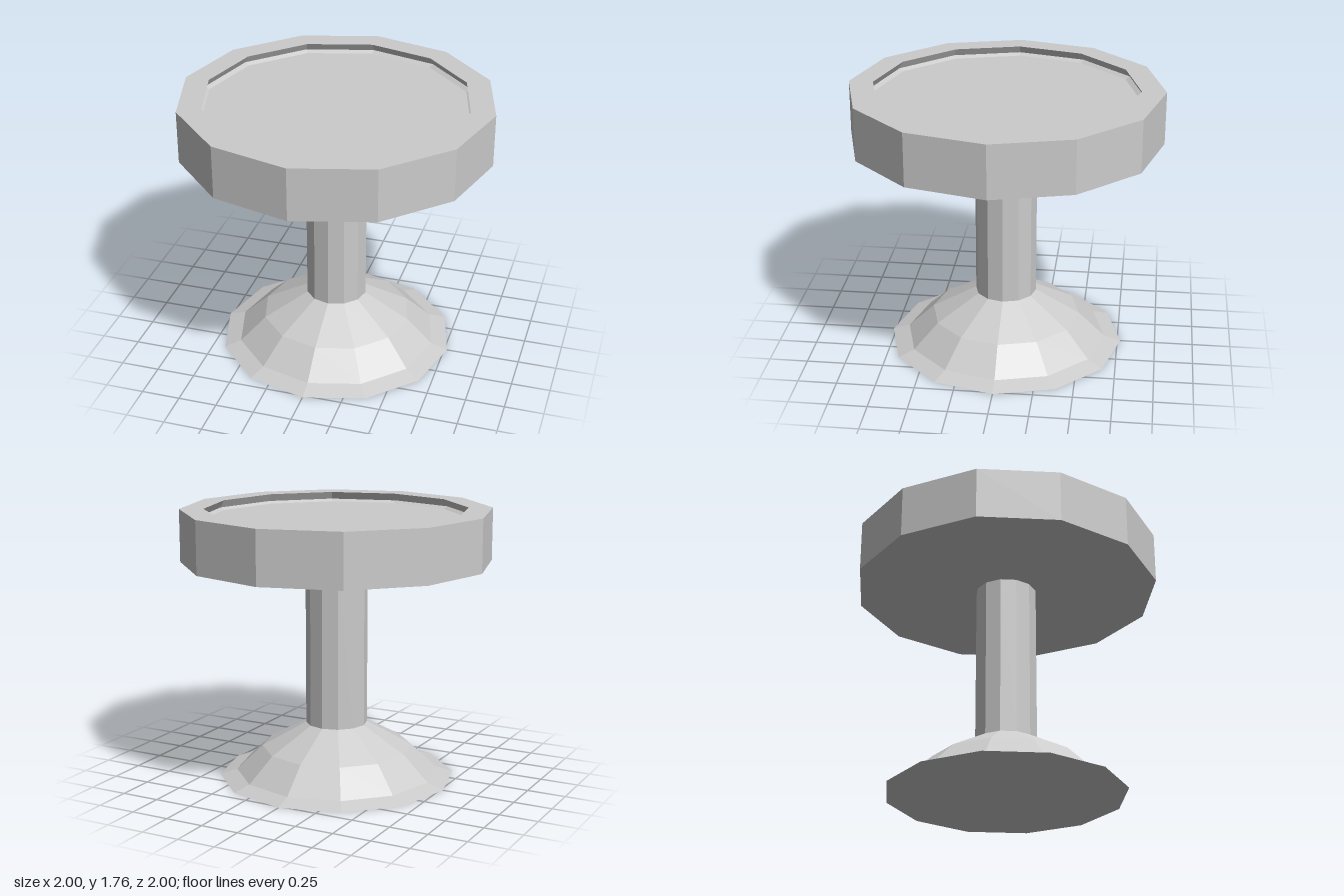
import * as THREE from 'three';

const SIDES = 12;

export function createModel() {
  const model = new THREE.Group();
  const material = new THREE.MeshStandardMaterial({ color: 0xcccccc, flatShading: true });

  // Twelve-sided turned part from [radius, height] pairs, bottom to top
  const turned = (name, profile) => {
    const points = profile.map(([r, y]) => new THREE.Vector2(r, y));
    const mesh = new THREE.Mesh(new THREE.LatheGeometry(points, SIDES), material);
    mesh.name = name;
    model.add(mesh);
  };

  // Flared foot with a thin lip
  turned('base', [[0, 0], [0.77, 0], [0.66, 0.035], [0.49, 0.195], [0.2, 0.355]]);

  // Straight column
  turned('column', [[0.2, 0.355], [0.2, 1.425]]);

  // Thick round top: raised rim, undercut groove and sunken seat
  turned('seat', [
    [0, 1.425], [1, 1.425], [1, 1.765], [0.845, 1.765],
    [0.875, 1.715], [0.845, 1.7], [0, 1.7],
  ]);

  return model;
}
